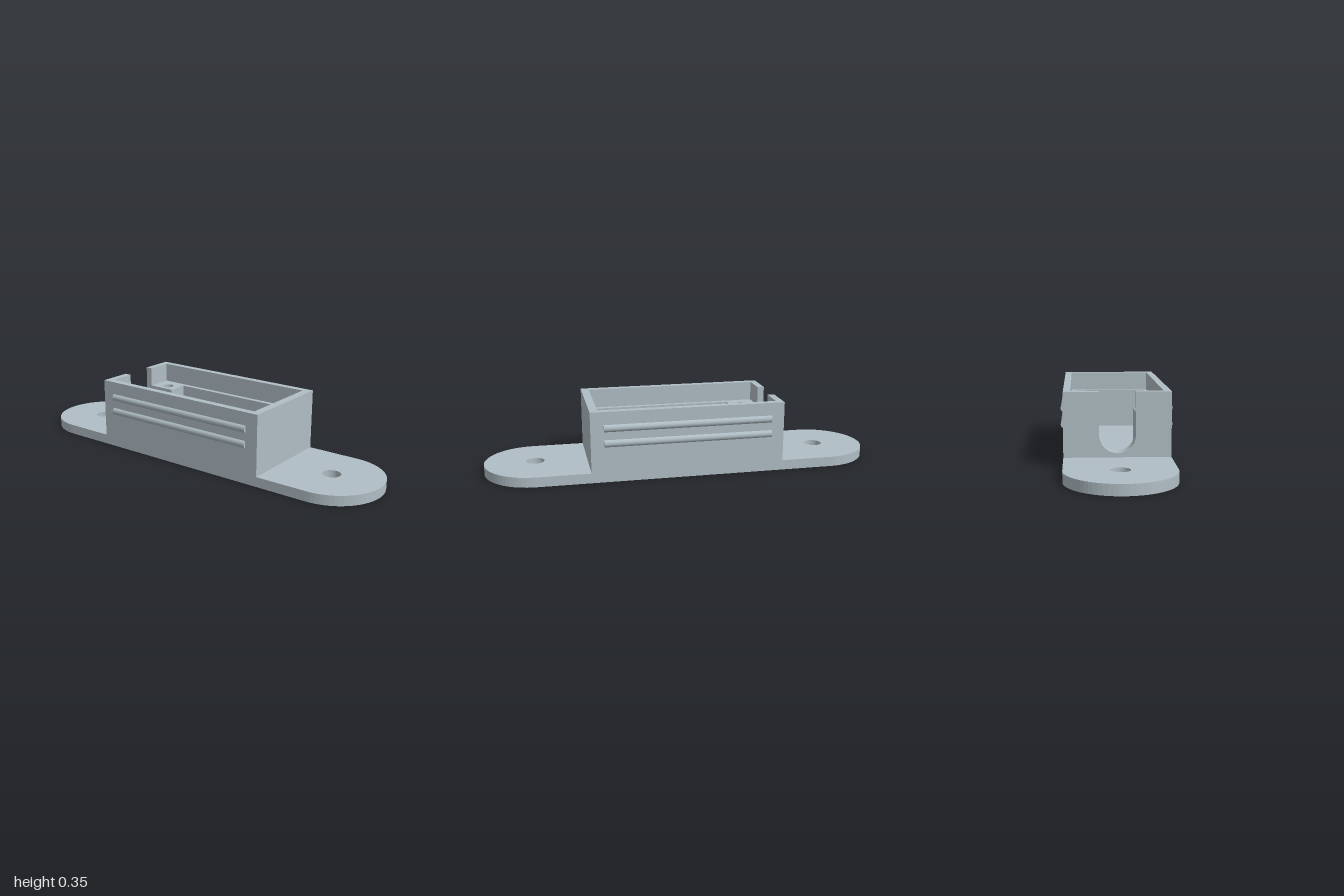
import * as THREE from 'three';

const HALF_W = 0.25, BASE_H = 0.05, LEDGE_Y = 0.256, TOP_Y = 0.355;
const BOX_X = 0.485, SLOT = 0.085, SLOT_INNER_X = -0.42;

export function createModel() {
  const model = new THREE.Group();
  model.name = 'mountingBox';
  const grey = new THREE.MeshStandardMaterial({ color: 0xb0bec5 });
  grey.name = 'blue grey';

  const add = (name, geometry) => {
    const mesh = new THREE.Mesh(geometry, grey);
    mesh.name = name;
    model.add(mesh);
    return mesh;
  };

  // Extrude a plan shape upward between two heights
  const slab = (name, shape, y0, y1) => {
    const g = new THREE.ExtrudeGeometry(shape, { depth: y1 - y0, bevelEnabled: false, curveSegments: 18 });
    g.rotateX(-Math.PI / 2).translate(0, y0, 0);
    return add(name, g);
  };
  const polygon = (points) => new THREE.Shape(points.map(([x, y]) => new THREE.Vector2(x, y)));
  const hole = (x, y, r) => new THREE.Path().absarc(x, y, r, 0, Math.PI * 2, true);

  // Flat base with round ends and two screw holes
  const base = new THREE.Shape();
  base.moveTo(-0.75, -HALF_W);
  base.lineTo(0.75, -HALF_W);
  base.absarc(0.75, 0, HALF_W, -Math.PI / 2, Math.PI / 2, false);
  base.lineTo(-0.75, HALF_W);
  base.absarc(-0.75, 0, HALF_W, Math.PI / 2, Math.PI * 1.5, false);
  base.holes.push(hole(-0.745, 0, 0.045), hole(0.745, 0, 0.045));
  slab('basePlate', base, 0, BASE_H);

  // Outer box outline, open at the cable slot
  const outer = [[-BOX_X, -SLOT], [-BOX_X, -HALF_W], [BOX_X, -HALF_W], [BOX_X, HALF_W], [-BOX_X, HALF_W], [-BOX_X, SLOT]];

  // Lower walls with the two screw posts
  const lower = polygon([...outer, [-0.305, SLOT], [-0.305, 0.19], [0.415, 0.19],
    [0.415, -0.19], [-0.305, -0.19], [-0.305, -SLOT]]);
  lower.holes.push(hole(-0.372, 0.135, 0.03), hole(-0.372, -0.135, 0.03));
  slab('lowerWallsAndPosts', lower, BASE_H, LEDGE_Y);

  // Thin rim above the lid ledge
  const rim = polygon([...outer, [-0.45, SLOT], [-0.45, 0.215], [0.445, 0.215],
    [0.445, -0.215], [-0.45, -0.215], [-0.45, -SLOT]]);
  slab('upperRim', rim, LEDGE_Y, TOP_Y);

  // Rounded bottom of the cable slot
  const arcY = 0.155;
  const cradle = new THREE.Shape();
  cradle.moveTo(-SLOT, BASE_H);
  cradle.lineTo(SLOT, BASE_H);
  cradle.lineTo(SLOT, arcY);
  cradle.absarc(0, arcY, SLOT, 0, -Math.PI, true);
  const cradleGeometry = new THREE.ExtrudeGeometry(cradle, {
    depth: SLOT_INNER_X + BOX_X, bevelEnabled: false, curveSegments: 18,
  });
  cradleGeometry.rotateY(Math.PI / 2).translate(-BOX_X, 0, 0);
  add('cableSlotCradle', cradleGeometry);

  // Two round grip ribs on each long side
  for (const side of [1, -1]) {
    for (const y of [0.272, 0.196]) {
      const rib = new THREE.CylinderGeometry(0.02, 0.02, 0.84, 20);
      rib.rotateZ(Math.PI / 2).translate(0, y, side * 0.242);
      add(side > 0 ? 'frontGripRib' : 'backGripRib', rib);
    }
  }
  return model;
}
